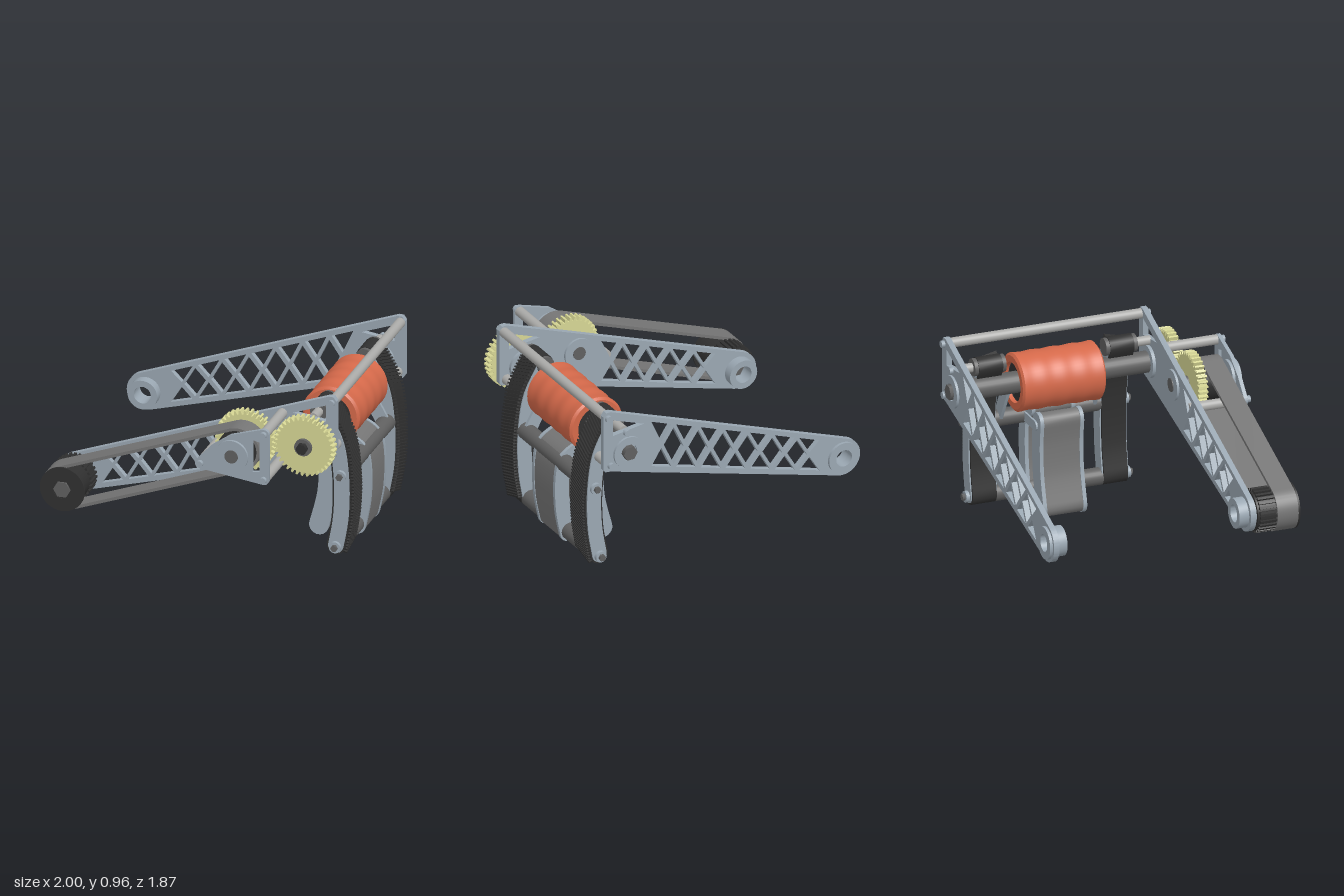
import * as THREE from 'three';
import { toCreasedNormals, mergeGeometries } from 'three/addons/utils/BufferGeometryUtils.js';

const V = (z, y) => new THREE.Vector2(z, y);
const mat = (color) => new THREE.MeshStandardMaterial({ color });
const STEEL = mat(0x9aa7b2), ROD = mat(0xaaaaa8), DARK = mat(0x606060), BLACK = mat(0x303030),
  BELT = mat(0x757575), ORANGE = mat(0xd5694a), YELLOW = mat(0xd6d694);

// Key points in the side plane, as (z, y)
const AXLE = V(0.62, 0.71), IDLER = V(0.31, 0.70), PIVOT = V(-0.61, 0.36);

export function createModel() {
  const model = new THREE.Group();
  const body = new THREE.Group();
  body.name = 'mechanism';
  model.add(body);

  const add = (name, geo, material) => {
    const m = new THREE.Mesh(geo, material);
    m.name = name;
    body.add(m);
    return m;
  };
  // Side-plane outline pushed out between two x positions
  const slab = (name, shape, xa, xb, material) => {
    const lo = Math.min(xa, xb), hi = Math.max(xa, xb);
    const g = new THREE.ExtrudeGeometry(shape, { depth: hi - lo, bevelEnabled: false, curveSegments: 20 });
    g.rotateY(-Math.PI / 2).translate(hi, 0, 0);
    return add(name, toCreasedNormals(g, 0.5), material);
  };
  const rod = (name, p, r, xa, xb, material, sides = 24) => {
    const g = new THREE.CylinderGeometry(r, r, Math.abs(xb - xa), sides);
    g.rotateZ(Math.PI / 2).translate((xa + xb) / 2, p.y, p.x);
    return add(name, sides < 12 ? g.toNonIndexed() : g, material);
  };
  const circle = (p, r) => new THREE.Path().absarc(p.x, p.y, r, 0, Math.PI * 2);
  const ring = (name, p, ro, ri, xa, xb, material) => {
    const s = new THREE.Shape().absarc(p.x, p.y, ro, 0, Math.PI * 2);
    s.holes.push(circle(p, ri));
    return slab(name, s, xa, xb, material);
  };
  // Stadium round two equal circles
  const stadium = (a, b, r, Type = THREE.Shape) => {
    const f = Math.atan2(b.y - a.y, b.x - a.x), q = Math.PI / 2;
    return new Type().absarc(b.x, b.y, r, f - q, f + q).absarc(a.x, a.y, r, f + q, f + 3 * q);
  };
  // Round-ended strip of half thickness h along a curve
  const strip = (curve, h, n = 28) => {
    const left = [], right = [];
    for (let i = 0; i <= n; i++) {
      const p = curve.getPointAt(i / n), t = curve.getTangentAt(i / n);
      left.push(V(p.x - t.y * h, p.y + t.x * h));
      right.unshift(V(p.x + t.y * h, p.y - t.x * h));
    }
    const cap = (u) => {
      const p = curve.getPointAt(u), t = curve.getTangentAt(u), sgn = u ? 1 : -1;
      const a0 = Math.atan2(t.x, -t.y) + (u ? 0 : Math.PI);
      return [1, 2, 3, 4, 5, 6, 7].map((k) => {
        const a = a0 - (k * Math.PI) / 8;
        return V(p.x + Math.cos(a) * h, p.y + Math.sin(a) * h * Math.abs(sgn));
      });
    };
    return [...left, ...cap(1), ...right, ...cap(0)];
  };
  const bandShape = (curve, h, wall) => {
    const s = new THREE.Shape(strip(curve, h));
    s.holes.push(new THREE.Path(strip(curve, h - wall)));
    return s;
  };

  // Lattice arm plates
  const upper = (z) => 0.4535 + 0.3697 * (z + 0.645) - 0.02;
  const lower = (z) => 0.264 + 0.28 * (z + 0.583) + 0.02;
  const armShape = (zStart, cells) => {
    const s = new THREE.Shape();
    s.moveTo(0.76, 0.64).lineTo(0.76, 0.935).lineTo(0.745, 0.957).lineTo(0.72, 0.958);
    s.absarc(PIVOT.x, PIVOT.y, 0.1, 1.93, 4.985);
    s.lineTo(0.72, 0.622).lineTo(0.75, 0.625);
    const cut = (pts) => {
      const c = pts.reduce((a, p) => a.add(p), V(0, 0)).divideScalar(pts.length);
      s.holes.push(new THREE.Path(pts.map((p) => p.clone().lerp(c, 0.2))));
    };
    const zAt = (i) => zStart + ((-0.49 - zStart) * i) / cells;
    const top = (i) => V(zAt(i), upper(zAt(i))), bot = (i) => V(zAt(i), lower(zAt(i)));
    const mid = (i) => top(i).add(bot(i)).add(top(i + 1)).add(bot(i + 1)).divideScalar(4);
    for (let i = 0; i < cells; i++) {
      cut([top(i), mid(i), top(i + 1)]);
      cut([bot(i), mid(i), bot(i + 1)]);
      if (i < cells - 1) cut([mid(i), top(i + 1), mid(i + 1), bot(i + 1)]);
    }
    cut([V(0.72, 0.92), V(0.5, 0.84), V(0.72, 0.81)]);
    s.holes.push(circle(PIVOT, 0.045));
    return s;
  };
  slab('leftArm', armShape(0.5, 7), 0.517, 0.547, STEEL);
  slab('rightArm', armShape(0.19, 5), -0.517, -0.547, STEEL);

  // Tracks: toothed curved belts on side plates
  const trackCurve = new THREE.SplineCurve([V(0.63, 0.82), V(0.715, 0.66), V(0.745, 0.46), V(0.742, 0.26), V(0.715, 0.095)]);
  const TOP = V(0.63, 0.82), MID = V(0.742, 0.48), LOW = V(0.715, 0.09);
  const teeth = (side) => {
    const parts = [], n = 46;
    for (let i = 0; i < n; i++) {
      const u = i / (n - 1), p = trackCurve.getPointAt(u), t = trackCurve.getTangentAt(u);
      const T = new THREE.Vector3(0, t.y, t.x), N = new THREE.Vector3(0, t.x, -t.y);
      const X = new THREE.Vector3(1, 0, 0).addScaledVector(T, 0.35 * side);
      const m = new THREE.Matrix4().makeBasis(X, N, new THREE.Vector3().crossVectors(X, N).normalize());
      m.setPosition(side * 0.355, p.y + N.y * 0.052, p.x + N.z * 0.052);
      parts.push(new THREE.BoxGeometry(0.13, 0.02, 0.009).applyMatrix4(m));
    }
    return mergeGeometries(parts);
  };

  for (const s of [1, -1]) {
    const x = (v) => s * v;
    // Arm end bosses and shaft bearings
    ring('armEndBoss', PIVOT, 0.078, 0.045, x(0.465), x(0.517), STEEL);
    ring('armEndRim', PIVOT, 0.085, 0.045, x(0.547), x(0.562), STEEL);
    ring('shaftBearing', AXLE, 0.085, 0.045, x(0.5), x(0.56), STEEL);
    rod('shaftHex', AXLE, 0.04, x(0.5), x(0.575), DARK, 6);
    // Track belt, its plates and drums
    slab('trackBelt', bandShape(trackCurve, 0.05, 0.012), x(0.29), x(0.42), BLACK);
    for (const e of [0.283, 0.413]) slab('trackPlate', new THREE.Shape(strip(trackCurve, 0.04)), x(e), x(e + 0.014), STEEL);
    add('trackTeeth', teeth(s), BLACK);
    rod('trackDrum', TOP, 0.046, x(0.27), x(0.44), DARK);
    rod('upperStandoff', TOP, 0.024, x(0.42), x(0.52), ROD);
    rod('lowerStandoff', V(0.72, 0.655), 0.027, x(0.42), x(0.52), ROD);
    // Bolt heads
    for (const p of [V(0.735, 0.925), V(0.72, 0.655), TOP]) rod('plateBolt', p, 0.018, x(0.54), x(0.565), STEEL, 12);
    for (const p of [MID, LOW]) {
      rod('trackBolt', p, 0.03, x(0.42), x(0.445), STEEL);
      rod('trackBoltHead', p, 0.018, x(0.44), x(0.46), DARK, 6);
    }
    // Hangers from the shaft to the cross rod
    slab('shaftHanger', stadium(V(0.63, 0.68), MID, 0.035), x(0.245), x(0.262), STEEL);
    // Cheeks of the two central guides, joined by brackets
    slab('guideBracket', stadium(V(0.57, 0.48), MID, 0.025), x(0.118), x(0.128), STEEL);
  }

  // Cross rods
  rod('topRod', V(0.735, 0.925), 0.026, -0.517, 0.517, ROD);
  rod('middleCrossRod', MID, 0.045, -0.3, 0.3, DARK);
  rod('bottomCrossRod', LOW, 0.045, -0.3, 0.3, DARK);
  rod('driveShaft', AXLE, 0.056, -0.517, 0.517, DARK);

  // Ribbed roller with recessed ends
  const prof = [V(0.1, -0.205), V(0.105, -0.225), V(0.138, -0.225)];
  for (let i = 0; i <= 32; i++) prof.push(V(0.149 + 0.002 * Math.cos((i * Math.PI) / 4), -0.215 + (0.43 * i) / 32));
  prof.push(V(0.138, 0.225), V(0.105, 0.225), V(0.1, 0.205));
  const rollerGeo = new THREE.LatheGeometry(prof, 48).rotateZ(Math.PI / 2).translate(0, AXLE.y, AXLE.x);
  add('roller', toCreasedNormals(rollerGeo, 0.5), ORANGE);
  rod('rollerCore', AXLE, 0.102, -0.2, 0.2, BLACK, 32);

  // Central guides: front and rear belts between cheeks
  const frontGuide = new THREE.SplineCurve([V(0.665, 0.535), V(0.735, 0.49), V(0.757, 0.38), V(0.752, 0.22), V(0.725, 0.075)]);
  const rearGuide = new THREE.SplineCurve([V(0.56, 0.5), V(0.572, 0.38), V(0.562, 0.22), V(0.52, 0.052)]);
  for (const [name, curve, h] of [['frontGuide', frontGuide, 0.036], ['rearGuide', rearGuide, 0.047]]) {
    slab(name + 'Belt', bandShape(curve, h, 0.012), -0.098, 0.098, BELT);
    for (const s of [1, -1]) slab(name + 'Cheek', new THREE.Shape(strip(curve, h + 0.004)), s * 0.098, s * 0.118, STEEL);
  }

  // Spur gears
  const gear = (name, p, phase) => {
    const n = 36, pts = [];
    for (let i = 0; i < n; i++)
      for (const [f, r] of [[0, 0.141], [0.3, 0.141], [0.45, 0.16], [0.8, 0.16]]) {
        const a = ((i + f + phase) / n) * Math.PI * 2;
        pts.push(V(p.x + Math.cos(a) * r, p.y + Math.sin(a) * r));
      }
    const s = new THREE.Shape(pts);
    s.holes.push(circle(p, 0.03));
    slab(name, s, -0.592, -0.642, YELLOW);
  };
  gear('driveGear', AXLE, 0);
  gear('idlerGear', IDLER, 0.4);
  rod('driveGearHub', AXLE, 0.045, -0.547, -0.66, DARK);
  rod('driveGearHex', AXLE, 0.03, -0.66, -0.685, BLACK, 6);
  rod('idlerShaft', IDLER, 0.035, -0.5, -0.86, DARK);
  ring('idlerBearing', IDLER, 0.08, 0.03, -0.505, -0.56, STEEL);

  // Belt drive to the arm end
  const loop = stadium(IDLER, PIVOT, 0.118);
  loop.holes.push(stadium(IDLER, PIVOT, 0.102, THREE.Path));
  slab('driveBelt', loop, -0.655, -0.768, BELT);
  rod('idlerPulley', IDLER, 0.103, -0.65, -0.772, BLACK, 32);
  rod('endPulley', PIVOT, 0.103, -0.57, -0.775, BLACK, 32);
  ring('endPulleyFlange', PIVOT, 0.118, 0.05, -0.768, -0.778, BLACK);
  rod('endPulleyHex', PIVOT, 0.045, -0.54, -0.785, DARK, 6);
  rod('toothedCore', PIVOT, 0.1, -0.555, -0.655, BLACK, 32);
  const ribs = [];
  for (let i = 0; i < 28; i++) {
    const a = (i / 28) * Math.PI * 2;
    ribs.push(new THREE.BoxGeometry(0.09, 0.016, 0.012).translate(0, 0.106, 0).rotateX(a).translate(-0.61, PIVOT.y, PIVOT.x));
  }
  add('toothedPulleyRibs', mergeGeometries(ribs), BLACK);

  // Outer bracket plate on three standoffs
  const posts = [V(0.475, 0.835), V(0.14, 0.635), V(0.475, 0.59)];
  const bracket = new THREE.Shape();
  bracket.absarc(0.475, 0.59, 0.028, -1.7, 0).absarc(0.475, 0.835, 0.028, 0, 1.9);
  bracket.lineTo(0.3, 0.81).lineTo(0.2, 0.74).absarc(0.14, 0.635, 0.028, 2.4, 4.5);
  const slot = new THREE.Path([V(0.415, 0.8), V(0.455, 0.79), V(0.455, 0.63), V(0.415, 0.625)]);
  bracket.holes.push(slot);
  slab('outerBracket', bracket, -0.82, -0.84, STEEL);
  ring('outerBearing', IDLER, 0.085, 0.034, -0.805, -0.855, STEEL);
  for (const p of posts) {
    rod('bracketPost', p, 0.026, -0.53, -0.82, ROD);
    rod('bracketBolt', p, 0.018, -0.84, -0.86, STEEL, 12);
  }

  // The mechanism sits turned about the vertical
  const turn = Math.atan2(0.768, 0.64);
  body.rotation.y = turn;
  body.position.set(0.08 * Math.cos(turn), 0, -0.08 * Math.sin(turn));
  return model;
}
